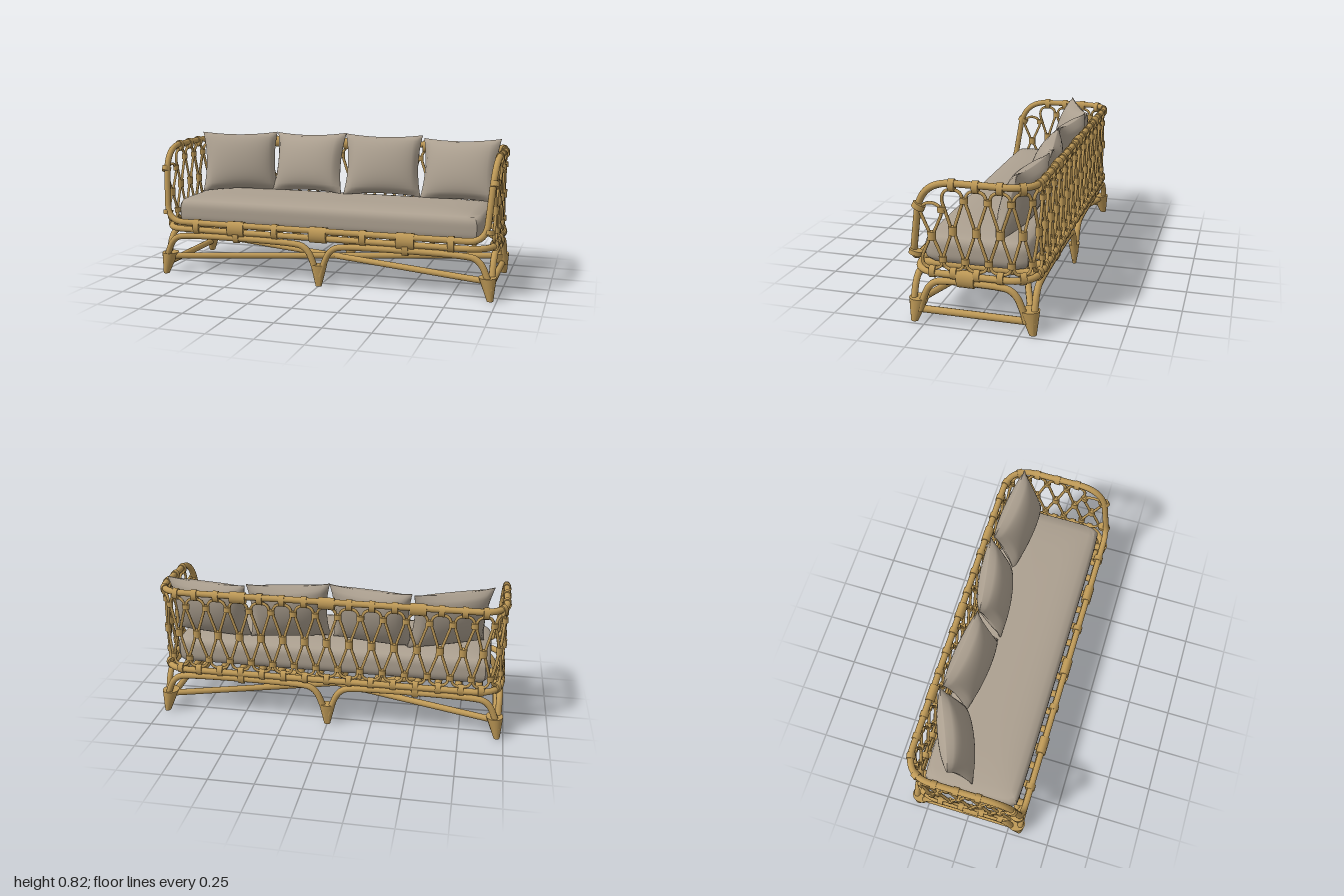
import * as THREE from 'three';
import { mergeVertices, toCreasedNormals } from 'three/addons/utils/BufferGeometryUtils.js';

const rattan = new THREE.MeshStandardMaterial({ color: 0xbf9a57 });
rattan.name = 'rattan';
const fabric = new THREE.MeshStandardMaterial({ color: 0xaca090 });
fabric.name = 'fabric';
const V = (x, y, z) => new THREE.Vector3(x, y, z);

function add(parent, name, geometry, material = rattan) {
  const mesh = new THREE.Mesh(geometry, material);
  mesh.name = name;
  parent.add(mesh);
  return mesh;
}

function subGroup(parent, name, x = 0, y = 0, z = 0, turn = 0) {
  const g = new THREE.Group();
  g.name = name;
  g.position.set(x, y, z);
  g.rotation.y = turn;
  parent.add(g);
  return g;
}

// Closed loop of straight canes with rounded bends; each corner is [x, y, z, bend]
function bentLoop(corners) {
  const path = new THREE.CurvePath();
  const n = corners.length;
  const pts = corners.map(c => V(c[0], c[1], c[2]));
  const toward = (i, j) => pts[i].clone().add(
    pts[j].clone().sub(pts[i]).setLength(corners[i][3]));
  for (let i = 0; i < n; i++) {
    const prev = (i + n - 1) % n, next = (i + 1) % n;
    path.add(new THREE.QuadraticBezierCurve3(toward(i, prev), pts[i], toward(i, next)));
    path.add(new THREE.LineCurve3(toward(i, next), toward(next, i)));
  }
  return path;
}

const rod = (a, b, r) => new THREE.TubeGeometry(new THREE.LineCurve3(a, b), 1, r, 12);
const smooth = (pts, closed = false) => new THREE.CatmullRomCurve3(pts, closed, 'centripetal');

// Cane binding in a panel's own x-y plane: its axis is y turned by angle
const bandGeometry = new THREE.CylinderGeometry(1, 1, 1, 14);
function band(parent, s, y, angle, length, half, depth = 0.024) {
  const m = add(parent, 'binding', bandGeometry);
  m.position.set(s, y, 0);
  m.rotation.set(0, 0, angle, 'YXZ');
  m.scale.set(half, length, depth);
  return m;
}

// Plan line of the woven wall: right arm, back and left arm with rounded corners
const BEND = 0.16, SIDE = 0.967, REAR = -0.319, FRONT = 0.27;
const wall = new THREE.CurvePath();
wall.add(new THREE.LineCurve3(V(-SIDE, 0, FRONT), V(-SIDE, 0, REAR + BEND)));
wall.add(new THREE.QuadraticBezierCurve3(V(-SIDE, 0, REAR + BEND), V(-SIDE, 0, REAR), V(-SIDE + BEND, 0, REAR)));
wall.add(new THREE.LineCurve3(V(-SIDE + BEND, 0, REAR), V(SIDE - BEND, 0, REAR)));
wall.add(new THREE.QuadraticBezierCurve3(V(SIDE - BEND, 0, REAR), V(SIDE, 0, REAR), V(SIDE, 0, REAR + BEND)));
wall.add(new THREE.LineCurve3(V(SIDE, 0, REAR + BEND), V(SIDE, 0, FRONT)));
const wallLength = wall.getLength();
const onWall = (s, y) => wall.getPoint(0.5 + s / wallLength).setY(y);

// Figure-eight cane loops along the wall, tied to each other and to the rails
function weave(panel, columns) {
  const tie = (s, y, ...size) => {
    const m = band(panel, 0, 0, ...size);
    const t = wall.getTangent(0.5 + s / wallLength);
    m.position.copy(onWall(s, y));
    m.rotation.y = Math.atan2(-t.z, t.x);
  };
  for (const { s, top, mid, w } of columns) {
    const knot = top - 0.052;
    const side = [[w * 0.75, top - 0.014], [w, knot], [w * 0.65, mid + 0.58 * (knot - mid)], [0.01, mid],
      [w * 0.65, mid + 0.58 * (0.355 - mid)], [w, 0.355], [w * 0.8, 0.316]];
    const pts = [onWall(s, top), ...side.map(([d, y]) => onWall(s + d, y)), onWall(s, 0.303),
      ...side.reverse().map(([d, y]) => onWall(s - d, y))];
    add(panel, 'weaveLoop', new THREE.TubeGeometry(smooth(pts, true), 72, 0.0085, 6, true));
    tie(s, mid, 0, 0.045, 0.022, 0.017);
    tie(s, 0.285, Math.PI / 2, 0.032, 0.032);
    if (top > 0.7) tie(s, 0.743, Math.PI / 2, 0.032, 0.033);
  }
  for (let i = 1; i < columns.length; i++) {
    const a = columns[i - 1], b = columns[i], s = (a.s + b.s) / 2;
    tie(s, Math.min(a.top, b.top) - (a.top === b.top ? 0.052 : 0.03), 0, 0.03, 0.021, 0.016);
    tie(s, 0.355, 0, 0.03, 0.021, 0.016);
  }
}

// Arched brace between two legs in a panel's plane
function arch(panel, s0, s1) {
  const c = (s0 + s1) / 2, h = Math.abs(s1 - s0) / 2;
  const half = [[h, 0.06], [h - 0.017, 0.12], [h - 0.05, 0.195], [h - 0.085, 0.226], [h - 0.13, 0.236]];
  const pts = [...half.map(([d, y]) => V(c - d, y, 0)),
    ...half.slice().reverse().map(([d, y]) => V(c + d, y, 0))];
  add(panel, 'legArch', new THREE.TubeGeometry(smooth(pts), 60, 0.018, 10));
}

// Wrapped foot, narrow at the floor and leaning inwards at the top
function foot(parent, x, z, rx, rz, dx, dz) {
  const g = new THREE.CylinderGeometry(1, 0.36, 0.125, 18);
  const p = g.attributes.position;
  for (let i = 0; i < p.count; i++) {
    const t = p.getY(i) / 0.125 + 0.5;
    p.setXYZ(i, x + p.getX(i) * rx + dx * t, p.getY(i) + 0.0625, z + p.getZ(i) * rz + dz * t);
  }
  g.computeVertexNormals();
  add(parent, 'foot', toCreasedNormals(g, 0.8));
}

// Moves box vertices by a rule in -1..1 coordinates and welds them
function softBox(nx, ny, nz, rule) {
  let g = new THREE.BoxGeometry(2, 2, 2, nx, ny, nz);
  g.deleteAttribute('normal');
  g.deleteAttribute('uv');
  g = mergeVertices(g);
  const p = g.attributes.position;
  for (let i = 0; i < p.count; i++) p.setXYZ(i, ...rule(p.getX(i), p.getY(i), p.getZ(i)));
  g.computeVertexNormals();
  return g;
}

export function createModel() {
  const model = new THREE.Group();
  model.name = 'rattanSofa';

  // Top rail running round the back, down the arms and across the front
  const rail = bentLoop([
    [SIDE, 0.752, REAR, BEND], [SIDE, 0.752, 0.255, 0.165], [0.935, 0.32, 0.322, 0.1],
    [-0.935, 0.32, 0.322, 0.1], [-SIDE, 0.752, 0.255, 0.165], [-SIDE, 0.752, REAR, BEND]]);
  add(model, 'topRail', new THREE.TubeGeometry(rail, 320, 0.018, 12, true));

  // Seat ring and slats
  const ring = bentLoop([[0.97, 0.278, REAR, BEND], [0.97, 0.278, 0.317, BEND],
    [-0.97, 0.278, 0.317, BEND], [-0.97, 0.278, REAR, BEND]]);
  add(model, 'seatRing', new THREE.TubeGeometry(ring, 280, 0.018, 12, true));
  for (let i = 0; i < 16; i++) {
    const x = (i - 7.5) * 0.113;
    add(model, 'slat', rod(V(x, 0.28, -0.31), V(x, 0.28, 0.31), 0.021));
  }

  // Woven wall: back columns, two round each corner, then the arms
  const columns = [];
  for (let i = -6; i <= 6; i++) columns.push({ s: i * 0.125, top: 0.722, mid: 0.51, w: 0.053 });
  const atSide = z => wallLength / 2 - (FRONT - z);
  const rest = [0.858, 0.966, ...[-0.15, -0.028, 0.093].map(atSide)]
    .map(s => ({ s, top: 0.722, mid: 0.51, w: s < 1 ? 0.046 : 0.053 }));
  rest.push({ s: atSide(0.204), top: 0.645, mid: 0.475, w: 0.053 });
  for (const c of rest) {
    columns.push(c);
    columns.unshift({ ...c, s: -c.s });
  }
  weave(subGroup(model, 'wovenWall'), columns);

  // Wide bindings along the back rail
  const back = subGroup(model, 'backFrame', 0, 0, -0.317);
  for (const s of [-0.5, 0, 0.5]) band(back, s, 0.743, Math.PI / 2, 0.09, 0.034, 0.026);

  // Arm bindings and side braces
  for (const m of [-1, 1]) {
    const arm = subGroup(model, m > 0 ? 'leftArm' : 'rightArm', m * 0.966, 0, 0, -Math.PI / 2);
    band(arm, 0.268, 0.622, 0.45, 0.03, 0.034);
    const low = subGroup(arm, 'lowArmBinding', 0, 0, m * 0.018);
    band(low, 0.298, 0.37, 0.2, 0.025, 0.038, 0.026);
    arch(arm, -0.28, 0.28);
    band(arm, 0.03, 0.26, Math.PI / 2, 0.09, 0.046, 0.028);
    add(model, 'sideStretcher', rod(V(m * 0.955, 0.065, -0.3), V(m * 0.955, 0.065, 0.3), 0.019));
  }

  // Front and back leg arches with large bindings
  const front = subGroup(model, 'frontFrame', 0, 0, 0.318);
  for (const panel of [front, back]) {
    for (const m of [-1, 1]) {
      arch(panel, m * 0.01, m * 0.965);
      band(panel, m * 0.5, 0.256, Math.PI / 2, 0.035, 0.04);
    }
  }
  for (const s of [-0.5, 0, 0.5]) band(front, s, 0.298, Math.PI / 2, 0.1, 0.046, 0.029);
  for (const s of [-0.75, -0.26, 0.26, 0.75]) band(front, s, 0.299, Math.PI / 2, 0.035, 0.044, 0.028);

  // Feet and crossed stretchers
  for (const mz of [-1, 1]) {
    for (const mx of [-1, 1]) foot(model, mx * 0.965, mz * 0.313, 0.048, 0.053, -mx * 0.02, -mz * 0.022);
    foot(model, 0, mz * 0.315, 0.048, 0.032, 0, -mz * 0.004);
    add(model, 'crossStretcher', rod(V(-0.95, 0.104, -mz * 0.3), V(0.95, 0.104, mz * 0.3), 0.018));
  }

  // Seat cushion with a domed top and boxed sides
  const seat = softBox(32, 10, 14, (u, v, w) => {
    const dome = (1 - u ** 8) * (1 - w ** 4);
    const bulge = 1 - v ** 4;
    const corner = 1 - 0.03 * (u * w) ** 8;
    return [u * (0.885 + 0.02 * bulge) * corner,
      0.372 + v * 0.068 + v * dome * (v > 0 ? 0.024 : 0.008),
      0.005 + w * (0.258 + 0.02 * bulge) * corner];
  });
  add(model, 'seatCushion', toCreasedNormals(seat, 0.75), fabric);

  // Back pillows with pinched corners
  const pillow = softBox(18, 18, 2, (u, v, w) => [
    u * 0.232 * (1 - 0.09 * (1 - v * v) * u * u),
    v * 0.187 * (1 - 0.09 * (1 - u * u) * v * v),
    w * (0.003 + 0.08 * Math.sqrt(Math.max(0, (1 - u * u) * (1 - v * v))))]);
  const places = [[-0.665, 0.63, -0.135, 0.41, -0.01], [-0.23, 0.634, -0.185, -0.11, 0.03],
    [0.238, 0.636, -0.19, 0.17, -0.01], [0.703, 0.626, -0.19, -0.1, 0.03]];
  for (const [x, y, z, yaw, roll] of places) {
    const p = add(model, 'backPillow', pillow, fabric);
    p.position.set(x, y, z);
    p.rotation.set(-0.3, yaw, roll, 'YXZ');
  }
  return model;
}
